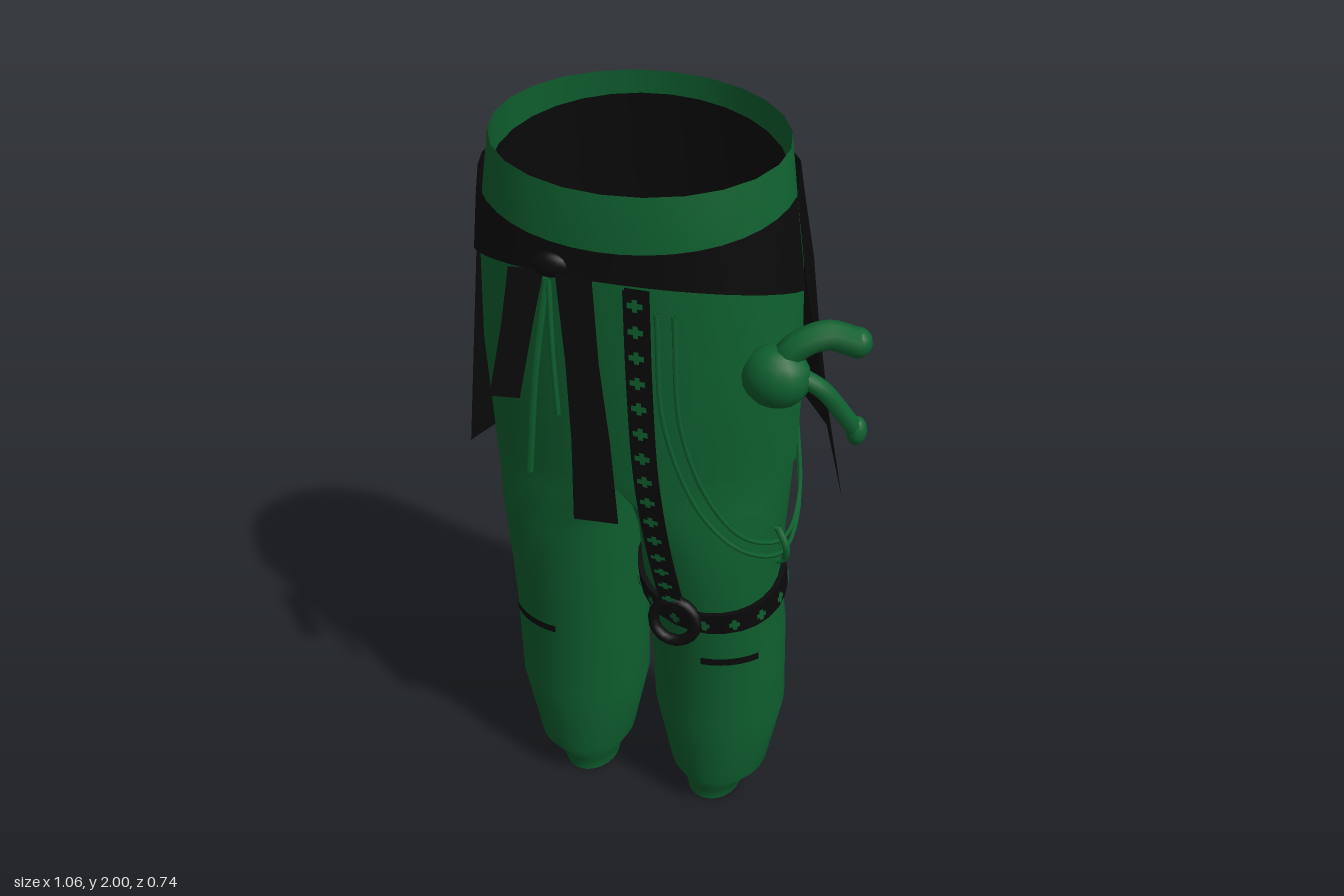
import * as THREE from 'three';
import { mergeGeometries, mergeVertices } from 'three/addons/utils/BufferGeometryUtils.js';

const green = new THREE.MeshStandardMaterial({ color: 0x0f6130, side: THREE.DoubleSide });
green.name = 'green cloth';
const black = new THREE.MeshStandardMaterial({ color: 0x0a0a0a, side: THREE.DoubleSide });
black.name = 'black cloth';

const CX = -0.045; // centre seam of the trousers
const { sin, cos, PI, abs } = Math;
const lerp = THREE.MathUtils.lerp;

// leg rows: y, inner x, outer x, front z, back z, blend into hip outline
const LEG = [
  [0, 0.112, 0.26, 0.06, -0.135, 0], [0.04, 0.105, 0.272, 0.065, -0.135, 0],
  [0.11, 0.065, 0.33, 0.11, -0.185, 0], [0.33, 0.018, 0.373, 0.14, -0.205, 0],
  [0.6, 0.012, 0.37, 0.165, -0.195, 0], [0.8, 0.01, 0.358, 0.22, -0.17, 0],
  [0.96, 0.004, 0.37, 0.24, -0.175, 0.15], [1.08, 0.001, 0.38, 0.255, -0.19, 0.6],
  [1.15, 0, 0.385, 0.265, -0.2, 1],
];
// hip rows: y, half width, front z, back z
const HIP = [
  [1.15, 0.385, 0.265, -0.2], [1.4, 0.395, 0.29, -0.215], [1.65, 0.385, 0.3, -0.215],
  [1.8, 0.366, 0.3, -0.2], [1.945, 0.347, 0.28, -0.19], [2.05, 0.335, 0.27, -0.19],
];

function rowAt(table, y) {
  let i = 0;
  while (i < table.length - 2 && y > table[i + 1][0]) i++;
  const [a, b] = [table[i], table[i + 1]];
  const t = (y - a[0]) / (b[0] - a[0]);
  return a.map((v, k) => lerp(v, b[k], t));
}

// angle 0 faces front, PI/2 faces outward, PI faces back
function legPoint(side, a, y, off = 0) {
  const [, xi, xo, zf, zb, t] = rowAt(LEG, y);
  const s = sin(a), r = (xo - xi) / 2 + off;
  const x = lerp((xi + xo) / 2 + r * s, s > 0 ? (xo + off) * s : 0, t);
  return [CX + side * x, y, (zf + zb) / 2 + ((zf - zb) / 2 + off) * cos(a)];
}
function hipPoint(a, y, off = 0) {
  const [, w, zf, zb] = rowAt(HIP, y);
  return [CX + (w + off) * sin(a), y, (zf + zb) / 2 + ((zf - zb) / 2 + off) * cos(a)];
}

// surface from a rule f(u, v) with u and v as whole steps
function grid(nu, nv, f) {
  const pos = [], idx = [];
  for (let j = 0; j <= nv; j++) for (let i = 0; i <= nu; i++) pos.push(...f(i, j));
  for (let j = 0; j < nv; j++) for (let i = 0; i < nu; i++) {
    const a = j * (nu + 1) + i, b = a + nu + 1;
    idx.push(a, a + 1, b + 1, a, b + 1, b);
  }
  const g = new THREE.BufferGeometry();
  g.setAttribute('position', new THREE.Float32BufferAttribute(pos, 3));
  g.setIndex(idx);
  g.computeVertexNormals();
  return g;
}
// patch on a surface point function
const patch = (fn, a0, a1, y0, y1, off, n = 6, m = 1) =>
  grid(n, m, (i, j) => fn(lerp(a0, a1, i / n), lerp(y0, y1, j / m), off));

const curveOf = (pts) => new THREE.CatmullRomCurve3(pts.map((p) => new THREE.Vector3(...p)));

export function createModel() {
  const group = new THREE.Group();
  const add = (name, geo, mat) => {
    const m = new THREE.Mesh(geo, mat);
    m.name = name;
    group.add(m);
    return m;
  };
  const tube = (name, pts, r, mat, seg = 24, sides = 6) =>
    add(name, new THREE.TubeGeometry(curveOf(pts), seg, r, sides), mat);
  const ball = (name, p, scale, mat) => {
    const m = add(name, new THREE.SphereGeometry(1, 14, 10), mat);
    m.position.set(...p);
    m.scale.set(...scale);
    return m;
  };
  // flat ribbon through rows of [left x, right x, y, z]
  const ribbon = (name, rows, mat) => add(name, grid(1, rows.length - 1,
    (i, j) => [rows[j][i], rows[j][2], rows[j][3] + (i ? 0 : 0.012)]), mat);

  // trousers: two legs that merge into the hips, open at waist and ankles
  const N = 24;
  const ys = HIP.slice(0, 4).map((r) => r[0]);
  const rimY = (a) => 1.945 - 0.055 * cos(a);
  const parts = [1, -1].map((s) => grid(N, LEG.length - 1,
    (i, j) => legPoint(s, s * i / N * 2 * PI, LEG[j][0])));
  parts.push(grid(N, 4, (i, j) => {
    const a = i / N * 2 * PI;
    return hipPoint(a, j < 4 ? ys[j] : rimY(a));
  }));
  parts.forEach((g) => g.deleteAttribute('normal'));
  const cloth = mergeVertices(mergeGeometries(parts), 1e-4);
  cloth.computeVertexNormals();
  add('trousers', cloth, green);

  // wrap skirt: front band, long back panel and dark lining
  const skirtTop = (a) => 1.86 - 0.09 * cos(a);
  const bandLow = (a) => 1.62 + 0.08 * cos(a);
  const A0 = 1.48, A1 = 2 * PI - 1.5;
  add('skirtBand', grid(20, 3, (i, j) => {
    const a = lerp(A1 - 2 * PI, A0, i / 20);
    return hipPoint(a, lerp(bandLow(a), skirtTop(a), j / 3), 0.015);
  }), black);
  const hem = [
    [0.47, 1.09, 0.06], [0.37, 1.14, -0.18], [0.26, 1.17, -0.3], [0.13, 1.19, -0.355], [-0.03, 1.19, -0.375],
    [-0.2, 1.16, -0.345], [-0.32, 1.13, -0.27], [-0.41, 1.09, -0.155], [-0.535, 1.02, 0],
  ];
  const panel = (i, j) => {
    const a = lerp(A0, A1, i / 8);
    if (j >= 3) return hipPoint(a, lerp(1.66, skirtTop(a), (j - 3) / 3), 0.015 + 0.035 * abs(cos(a)) * (6 - j) / 3);
    const top = hipPoint(a, 1.66, 0.015 + 0.035 * abs(cos(a)));
    return top.map((v, k) => lerp(hem[i][k], v, j / 3));
  };
  add('skirtBackPanel', grid(8, 6, panel), black);
  add('waistLining', grid(20, 3, (i, j) => {
    const a = lerp(1, 2 * PI - 1, i / 20);
    return hipPoint(a, lerp(1.4, skirtTop(a), j / 3), -0.012);
  }), black);

  // knotted ties and drawstrings at the front
  ribbon('shortTie', [[-0.25, -0.17, 1.71, 0.312], [-0.265, -0.195, 1.58, 0.33], [-0.295, -0.225, 1.4, 0.355]], black);
  ribbon('longTie', [[-0.14, -0.06, 1.71, 0.312], [-0.12, -0.045, 1.5, 0.32], [-0.11, -0.02, 1.3, 0.325], [-0.107, 0, 1.09, 0.335]], black);
  ball('tieKnot', [-0.16, 1.72, 0.305], [0.045, 0.03, 0.02], black);
  tube('drawstringLong', [[-0.165, 1.69, 0.315], [-0.2, 1.45, 0.32], [-0.235, 1.17, 0.3]], 0.009, green);
  tube('drawstringShort', [[-0.16, 1.69, 0.315], [-0.155, 1.5, 0.32], [-0.15, 1.35, 0.315]], 0.007, green);

  // knee rips, one on each leg
  for (const s of [1, -1]) {
    add('kneeRip', patch((a, y, o) => legPoint(s, a, y, o), 0.05, 0.9, 0.578, 0.6, 0.006), black);
  }

  // studded strap around the left thigh
  const strapPoint = (a, h, off) => legPoint(1, a, 0.785 - 0.035 * cos(a) - 0.022 * sin(a) + h, off);
  add('thighStrap', patch(strapPoint, 0, 2 * PI, -0.034, 0.034, 0.014, 28), black);
  for (const h of [-0.034, 0.034]) {
    add('thighStrapEdge', grid(28, 1, (i, j) => strapPoint(i / 28 * 2 * PI, h, j * 0.014)), black);
  }
  for (let i = 0; i < 16; i++) {
    const a = (i + 0.5) / 16 * 2 * PI;
    add('thighStud', patch(strapPoint, a - 0.07, a + 0.07, -0.008, 0.008, 0.019, 2), green);
    add('thighStud', patch(strapPoint, a - 0.03, a + 0.03, -0.018, 0.018, 0.019, 2), green);
  }

  // hanging studded strap with ring
  const hang = curveOf([[0.04, 1.69, 0.315], [0.045, 1.45, 0.312], [0.055, 1.2, 0.3], [0.075, 0.98, 0.27], [0.1, 0.81, 0.242]]);
  const strip = (t0, t1, w, off, n) => grid(1, n, (i, j) => {
    const p = hang.getPoint(lerp(t1, t0, j / n));
    return [p.x + (i ? w : -w), p.y, p.z + off];
  });
  add('hangingStrap', strip(0, 1, 0.029, 0, 20), black);
  add('hangingStrapBack', strip(0, 1, 0.029, -0.012, 20), black);
  for (let i = 0; i < 15; i++) {
    const t = (i + 0.5) / 15;
    add('hangingStud', strip(t - 0.007, t + 0.007, 0.018, 0.005, 1), green);
    add('hangingStud', strip(t - 0.016, t + 0.016, 0.006, 0.005, 1), green);
  }
  const ring = add('strapRing', new THREE.TorusGeometry(0.055, 0.015, 8, 18), black);
  ring.position.set(0.11, 0.765, 0.245);
  ring.rotation.x = -0.15;

  // thin cords looping round the left thigh
  for (const d of [0, 0.04]) {
    tube('sideCord', [[0.085 + d, 1.64, 0.305], [0.1 + d, 1.35, 0.295], [0.18 + d / 2, 1.1 + d, 0.255],
      [0.27, 0.98 + d, 0.2], [0.338, 0.92 + d, 0.08], [0.342, 0.97 + d, -0.04], [0.3, 1.16 + d, -0.14]], 0.006, green, 40, 5);
  }
  tube('cordLoop', [[0.325, 1.0, 0.1], [0.352, 0.95, 0.11], [0.345, 0.91, 0.1], [0.325, 0.9, 0.1]], 0.009, green);

  // thigh pocket
  add('pocket', patch(hipPoint, 0.52, 1.45, 1.18, 1.53, 0.014, 8, 4), green);
  add('pocketHem', patch(hipPoint, 0.52, 1.45, 1.49, 1.53, 0.022, 8, 1), green);

  // curled ornament sticking out of the pocket
  ball('ornamentBody', [0.33, 1.475, 0.2], [0.08, 0.075, 0.065], green);
  tube('ornamentUpperArm', [[0.33, 1.49, 0.2], [0.37, 1.55, 0.19], [0.43, 1.575, 0.16], [0.49, 1.55, 0.125]], 0.034, green, 16, 8);
  ball('ornamentUpperTip', [0.492, 1.548, 0.122], [0.034, 0.036, 0.034], green);
  tube('ornamentLowerArm', [[0.37, 1.49, 0.2], [0.43, 1.45, 0.18], [0.475, 1.38, 0.15], [0.505, 1.325, 0.125]], 0.022, green, 16, 8);
  ball('ornamentLowerTip', [0.505, 1.325, 0.125], [0.024, 0.036, 0.026], green);

  return group;
}
